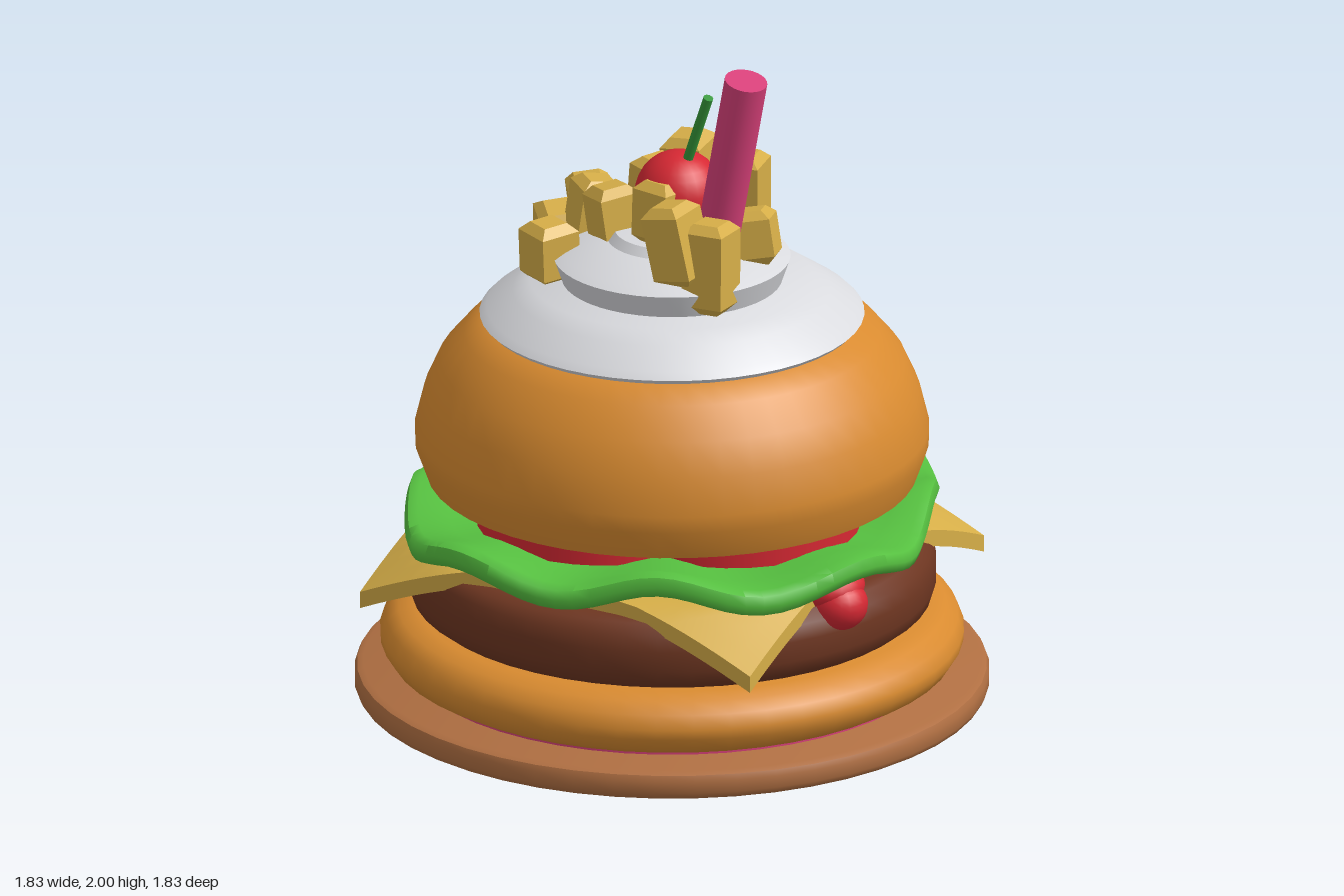
import * as THREE from 'three';
import { toCreasedNormals } from 'three/addons/utils/BufferGeometryUtils.js';

const mat = (name, color) => Object.assign(new THREE.MeshStandardMaterial({ color }), { name });

export function createModel() {
  const group = new THREE.Group();
  const bun = mat('bun orange', 0xd98b30);
  const wood = mat('plate brown', 0xb06f42);
  const meat = mat('patty brown', 0x6e3621);
  const gold = mat('cheese gold', 0xd6ae48);
  const leaf = mat('lettuce green', 0x56c040);
  const red = mat('tomato red', 0xd62833);
  const cream = mat('cream white', 0xd9dade);
  const pink = mat('straw pink', 0xd9417a);
  const stemGreen = mat('stem green', 0x36983a);

  const add = (name, geometry, material, x = 0, y = 0, z = 0) => {
    const mesh = new THREE.Mesh(geometry, material);
    mesh.name = name;
    mesh.position.set(x, y, z);
    group.add(mesh);
    return mesh;
  };
  // Round layer turned from [radius, height] pairs, listed bottom to top
  const turned = (points, segments = 48, crease = 0.65) => toCreasedNormals(
    new THREE.LatheGeometry(points.map(p => new THREE.Vector2(...p)), segments), crease);
  // Rod running between two points
  const rod = (name, a, b, radius, material, sides) => {
    const from = new THREE.Vector3(...a), to = new THREE.Vector3(...b);
    const mesh = add(name, new THREE.CylinderGeometry(radius, radius, from.distanceTo(to), sides), material);
    mesh.position.copy(from).lerp(to, 0.5);
    mesh.quaternion.setFromUnitVectors(new THREE.Vector3(0, 1, 0), to.sub(from).normalize());
  };

  // Plate and foot
  add('foot', new THREE.CylinderGeometry(0.27, 0.27, 0.03, 32), bun, 0, 0.015);
  add('plate', turned([[0, 0.02], [0.89, 0.02], [0.908, 0.03], [0.915, 0.045], [0.915, 0.08],
    [0.908, 0.097], [0.89, 0.105], [0, 0.105]]), wood);
  add('plateLiner', new THREE.CylinderGeometry(0.76, 0.76, 0.02, 48), pink, 0, 0.11);

  // Bottom bun and patty
  add('bottomBun', turned([[0, 0.115], [0.77, 0.115], [0.815, 0.14], [0.84, 0.18], [0.842, 0.21],
    [0.825, 0.25], [0.79, 0.28], [0.74, 0.293], [0, 0.295]]), bun);
  add('patty', turned([[0, 0.295], [0.72, 0.297], [0.75, 0.32], [0.762, 0.36], [0.762, 0.42],
    [0.752, 0.465], [0.725, 0.495], [0.69, 0.503], [0, 0.503]]), meat);

  // Cheese slice whose corners droop over the patty
  const slice = new THREE.BoxGeometry(1.31, 0.05, 1.31, 24, 1, 24);
  slice.rotateY(0.3);
  const sp = slice.attributes.position;
  for (let i = 0; i < sp.count; i++) {
    const r = Math.hypot(sp.getX(i), sp.getZ(i));
    sp.setY(i, sp.getY(i) + 0.52 - Math.max(0, r - 0.7) * 0.64);
  }
  add('cheese', toCreasedNormals(slice, 0.6), gold);

  // Sauce drops on both sides
  for (const side of [-1, 1]) {
    const drop = add('sauceDrop', new THREE.SphereGeometry(0.085, 20, 14), red, side * 0.72, 0.485, 0);
    drop.scale.set(1, 0.9, 1);
    add('sauceRun', new THREE.SphereGeometry(0.11, 20, 12), red, side * 0.67, 0.53, 0).scale.y = 0.6;
  }

  // Lettuce with a wavy, lobed rim
  const lettuce = new THREE.LatheGeometry([[0.2, 0.545], [0.66, 0.55], [0.755, 0.55], [0.785, 0.562],
    [0.795, 0.59], [0.785, 0.618], [0.755, 0.628], [0.66, 0.61], [0.2, 0.6]]
    .map(p => new THREE.Vector2(...p)), 96);
  const lp = lettuce.attributes.position;
  for (let i = 0; i < lp.count; i++) {
    const x = lp.getX(i), z = lp.getZ(i), a = Math.atan2(z, x);
    const edge = THREE.MathUtils.smoothstep(Math.hypot(x, z), 0.5, 0.78);
    const k = 1 + edge * 0.045 * Math.cos(4 * a - 0.3);
    lp.setXYZ(i, x * k, lp.getY(i) + edge * 0.03 * Math.cos(8 * a), z * k);
  }
  add('lettuce', toCreasedNormals(lettuce, 0.9), leaf);

  // Tomato slices and sauce bed below the top bun
  for (const [x, z] of [[0.26, 0], [-0.26, 0], [0, 0.26], [0, -0.26]])
    add('tomatoSlice', new THREE.CylinderGeometry(0.37, 0.37, 0.08, 32), red, x, 0.645, z);
  add('sauceBed', turned([[0, 0.6], [0.46, 0.61], [0.53, 0.64], [0.56, 0.695], [0, 0.695]]), cream);

  // Top bun
  add('topBun', turned([[0, 0.692], [0.708, 0.692], [0.74, 0.78], [0.742, 0.83], [0.715, 0.94],
    [0.672, 1.035], [0.6, 1.12], [0.545, 1.165], [0, 1.19]]), bun);

  // Cream in stacked tiers
  add('creamBase', turned([[0, 1.16], [0.54, 1.165], [0.555, 1.18], [0.535, 1.2], [0.46, 1.25],
    [0.41, 1.283], [0, 1.295]]), cream);
  add('creamMiddle', turned([[0, 1.28], [0.318, 1.285], [0.342, 1.355], [0.31, 1.37], [0.19, 1.41],
    [0, 1.42]]), cream);
  add('creamTop', turned([[0, 1.39], [0.2, 1.395], [0.165, 1.435], [0, 1.445]]), cream);

  // Fries: chamfered sticks as [x, z, base y, top y, lean x, lean z]
  const fries = [
    [-0.18, -0.24, 1.38, 1.62, 0.1, 0.05], [0.04, -0.24, 1.38, 1.62, 0, 0],
    [0.21, -0.13, 1.36, 1.52, -0.2, -0.3], [0.06, -0.1, 1.42, 1.61, 0.1, 0.1],
    [-0.37, -0.02, 1.28, 1.49, -0.1, 0.2], [-0.42, 0.06, 1.26, 1.41, 0.1, 0.25],
    [-0.29, 0.04, 1.33, 1.52, 0, 0.15], [-0.15, 0.09, 1.38, 1.55, 0.1, 0.15],
    [-0.25, 0.25, 1.27, 1.45, 0.1, -0.05], [-0.08, -0.02, 1.42, 1.63, 0, 0.1],
    [0.05, 0.08, 1.43, 1.62, 0.1, 0.15], [0.2, 0.16, 1.37, 1.61, 0.05, 0.2],
    [0.28, 0.1, 1.29, 1.56, 0.05, -0.1],
  ];
  const c = 0.025, h = 0.038;
  const square = new THREE.Shape([[-h, -h], [h, -h], [h, h], [-h, h]].map(p => new THREE.Vector2(...p)));
  fries.forEach(([x, z, low, high, leanX, leanZ], i) => {
    const stick = new THREE.ExtrudeGeometry(square, {
      depth: high - low - 2 * c, bevelThickness: c, bevelSize: c, bevelSegments: 1,
    }).rotateX(-Math.PI / 2).translate(0, -(high - low) / 2 + c, 0);
    add('fry', toCreasedNormals(stick, 0.3), gold, x, (low + high) / 2, z)
      .rotation.set(leanX, i * 1.7 + 0.4, leanZ);
  });

  // Cherry, stem and straw
  add('cherry', new THREE.SphereGeometry(0.128, 24, 16), red, 0.03, 1.555, 0);
  rod('cherryStem', [0.06, 1.65, 0], [0.157, 1.885, 0], 0.015, stemGreen, 10);
  rod('straw', [0.185, 1.41, 0], [0.32, 1.985, 0], 0.062, pink, 24);
  return group;
}
